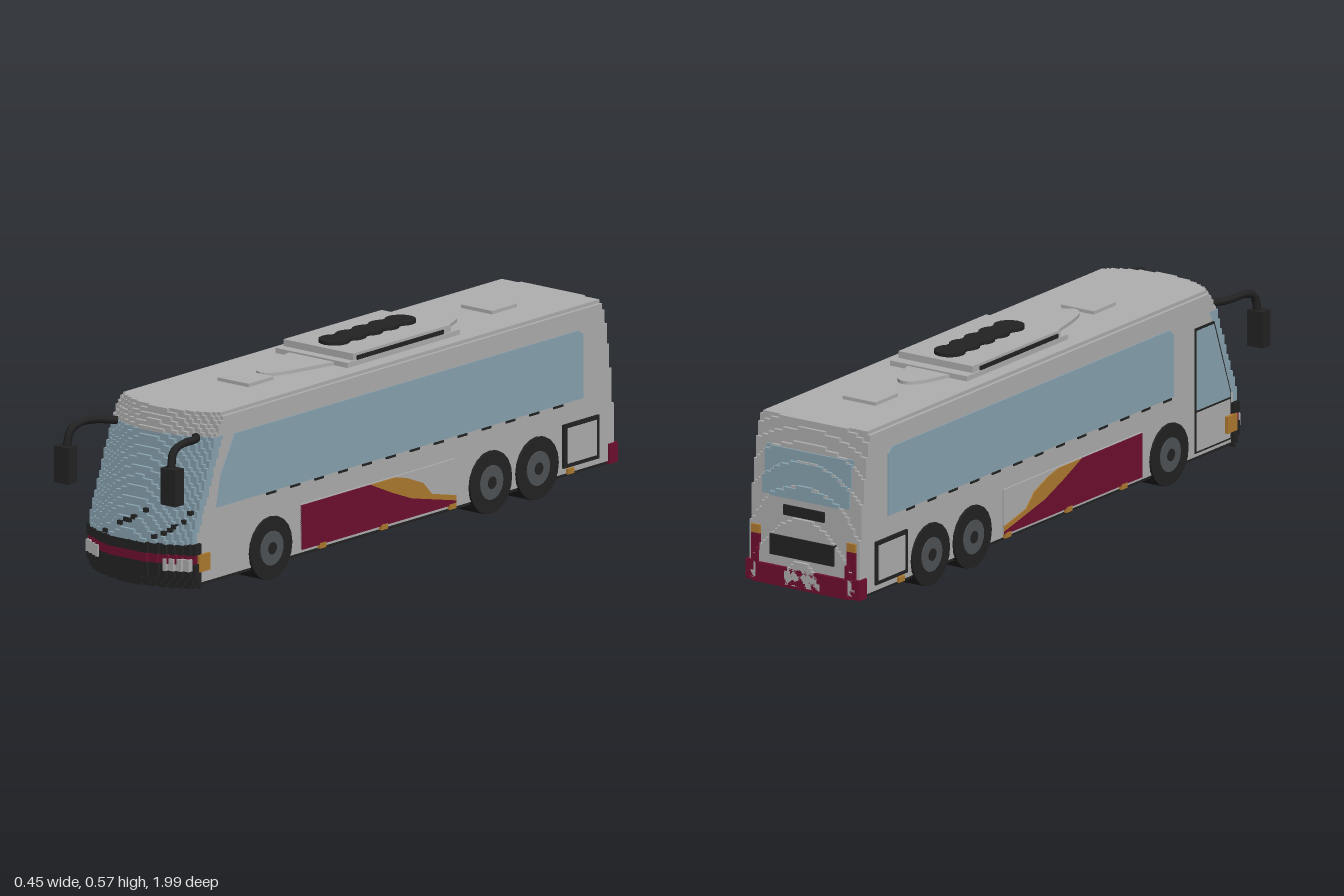
import * as THREE from 'three';
import { mergeGeometries } from 'three/addons/utils/BufferGeometryUtils.js';

const STEP = 0.0104; // size of the little steps in the curved ends
const mat = (name, color) => {
  const m = new THREE.MeshStandardMaterial({ color });
  m.name = name;
  return m;
};

export function createModel() {
  const root = new THREE.Group();
  root.name = 'coach';
  const grey = mat('body grey', 0xb0b0b0);
  const glass = mat('window blue', 0x8aa5b3);
  const red = mat('dark red', 0x700f30);
  const gold = mat('amber', 0xb07c30);
  const black = mat('trim black', 0x232323);
  const steel = mat('hub steel', 0x505456);

  const add = (name, geo, material) => {
    const mesh = new THREE.Mesh(geo, material);
    mesh.name = name;
    root.add(mesh);
    return mesh;
  };
  // Box given by its limits
  const box = (name, m, x0, x1, y0, y1, z0, z1) =>
    add(name, new THREE.BoxGeometry(x1 - x0, y1 - y0, z1 - z0)
      .translate((x0 + x1) / 2, (y0 + y1) / 2, (z0 + z1) / 2), m);
  // Flat plate on a body side, outline in (z, y)
  const plate = (name, m, side, pts, t = 0.006, base = 0.19) => {
    const shape = new THREE.Shape(pts.map(p => new THREE.Vector2(...p)));
    const g = new THREE.ExtrudeGeometry(shape, { depth: t, bevelEnabled: false });
    g.rotateY(-Math.PI / 2).translate(side > 0 ? base + t : -base, 0, 0);
    return add(name, g, m);
  };
  const rect = (z0, z1, y0, y1) => [[z0, y0], [z1, y0], [z1, y1], [z0, y1]];
  // Stack of thin layers whose outer edge follows end(y, x) in small steps
  const stack = (name, m, y0, y1, x0, x1, inner, end, off = 0) => {
    const rows = Math.max(1, Math.round((y1 - y0) / STEP)), h = (y1 - y0) / rows;
    const cols = Math.max(1, Math.round((x1 - x0) / STEP)), w = (x1 - x0) / cols;
    const layers = [];
    for (let r = 0; r < rows; r++) {
      const y = y0 + (r + 0.5) * h, pts = [];
      const zi = inner(y);
      pts.push(new THREE.Vector2(x0, zi));
      for (let c = 0; c < cols; c++) {
        const z = Math.round(end(y, x0 + (c + 0.5) * w) / STEP) * STEP + off;
        pts.push(new THREE.Vector2(x0 + c * w, z), new THREE.Vector2(x0 + (c + 1) * w, z));
      }
      pts.push(new THREE.Vector2(x1, zi));
      layers.push(new THREE.ExtrudeGeometry(new THREE.Shape(pts), { depth: h, bevelEnabled: false })
        .rotateX(Math.PI / 2).translate(0, y0 + (r + 1) * h, 0));
    }
    return add(name, mergeGeometries(layers), m);
  };
  // Piecewise linear profile [y, z]
  const profile = pts => y => {
    let i = 1;
    while (i < pts.length - 1 && y > pts[i][0]) i++;
    const [a, b] = [pts[i - 1], pts[i]];
    return THREE.MathUtils.lerp(a[1], b[1], THREE.MathUtils.clamp((y - a[0]) / (b[0] - a[0]), 0, 1));
  };
  const noseLine = profile([[0.035, 0.93], [0.07, 0.95], [0.165, 0.95], [0.22, 0.935], [0.33, 0.893], [0.465, 0.842], [0.525, 0.805]]);
  const tailLine = profile([[0.04, -0.985], [0.12, -0.983], [0.3, -0.968], [0.44, -0.947], [0.525, -0.925]]);
  const front = (y, x) => noseLine(y) - 0.03 * (x / 0.13) ** 2;
  const rear = (y, x) => tailLine(y) + 0.014 * (x / 0.19) ** 2;
  const pillar = y => 0.855 - (y - 0.2) * 0.4;

  // Main shell
  box('body', grey, -0.19, 0.19, 0.05, 0.515, -0.9, 0.7);
  box('roof', grey, -0.18, 0.18, 0.515, 0.525, -0.9, 0.7);
  box('underbody', black, -0.185, 0.185, 0.04, 0.05, -0.97, 0.87);

  // Front end
  stack('frontSides', grey, 0.05, 0.165, -0.19, 0.19, () => 0.7, () => 0.86);
  stack('pillars', grey, 0.165, 0.46, -0.19, 0.19, () => 0.7, y => pillar(y));
  stack('windscreen', glass, 0.165, 0.46, -0.19, 0.19, y => Math.round(pillar(y) / STEP) * STEP, front);
  stack('frontCap', grey, 0.46, 0.515, -0.19, 0.19, () => 0.7, front);
  stack('frontRoof', grey, 0.515, 0.525, -0.18, 0.18, () => 0.7, front);
  stack('lowerBumper', black, 0.036, 0.11, -0.2, 0.2, () => 0.855, front);
  stack('redBand', red, 0.11, 0.136, -0.195, 0.195, () => 0.855, front);
  stack('upperBumper', black, 0.136, 0.167, -0.2, 0.2, () => 0.855, front);
  for (const s of [-1, 1]) {
    stack('headlight', grey, 0.09, 0.125, s > 0 ? 0.12 : -0.19, s > 0 ? 0.19 : -0.12, () => 0.85, front, 0.006);
    plate('turnSignal', gold, s, rect(0.82, 0.868, 0.085, 0.135), 0.009, 0.194);
  }
  // Wipers
  for (const [x, y] of [[-0.085, 0.175], [-0.03, 0.208], [-0.01, 0.22], [0.003, 0.22], [0.015, 0.23], [0.05, 0.253],
    [0.09, 0.185], [0.115, 0.196], [0.13, 0.206], [0.14, 0.216], [0.162, 0.23], [0.172, 0.254]]) {
    const z = front(y, x);
    box('wiper', black, x - 0.007, x + 0.007, y - 0.006, y + 0.006, z - 0.01, z + 0.008);
  }

  // Rear end
  stack('tail', grey, 0.05, 0.515, -0.19, 0.19, () => -0.9, rear);
  stack('tailRoof', grey, 0.515, 0.525, -0.18, 0.18, () => -0.9, rear);
  stack('rearWindow', glass, 0.3, 0.44, -0.15, 0.15, () => -0.91, rear, -0.005);
  stack('rearBumper', red, 0.042, 0.1, -0.197, 0.197, () => -0.94, (y, x) => rear(y, x) - 0.008);
  stack('rearGrille', black, 0.25, 0.28, -0.07, 0.07, () => -0.91, rear, -0.006);
  stack('rearVent', black, 0.13, 0.19, -0.11, 0.11, () => -0.91, rear, -0.006);
  for (const s of [-1, 1]) {
    const [a, b] = s > 0 ? [0.15, 0.18] : [-0.18, -0.15];
    stack('tailLight', red, 0.1, 0.18, a, b, () => -0.91, rear, -0.007);
    stack('rearSignal', gold, 0.18, 0.205, a, b, () => -0.91, rear, -0.007);
  }

  // Side windows: the right-hand pair differs because of the door
  plate('sideWindow', glass, 1, [[-0.83, 0.256], [0.78, 0.256], [0.76, 0.35], [0.7, 0.457], [-0.81, 0.457], [-0.83, 0.44]], 0.003);
  plate('sideWindow', glass, -1, [[-0.83, 0.256], [0.57, 0.256], [0.57, 0.44], [0.55, 0.457], [-0.81, 0.457], [-0.83, 0.44]], 0.003);
  plate('doorFrame', black, -1, [[0.675, 0.06], [0.852, 0.06], [0.852, 0.2], [0.77, 0.43], [0.675, 0.43]], 0.002);
  plate('doorPanel', grey, -1, [[0.683, 0.066], [0.846, 0.066], [0.846, 0.18], [0.683, 0.18]], 0.004);
  plate('doorGlass', glass, -1, [[0.683, 0.187], [0.846, 0.187], [0.846, 0.2], [0.766, 0.422], [0.683, 0.422]], 0.004);

  for (const s of [-1, 1]) {
    // Luggage panel with sweep
    plate('luggagePanel', grey, s, rect(-0.267, 0.41, 0.06, 0.192), 0.005);
    plate('redSweep', red, s, [[0.41, 0.06], [0.41, 0.19], [0.11, 0.19], [0.02, 0.15], [-0.07, 0.115], [-0.267, 0.07], [-0.267, 0.06]], 0.008);
    plate('goldSweep', gold, s, [[0.11, 0.19], [0.0, 0.19], [-0.05, 0.178], [-0.12, 0.15], [-0.16, 0.11], [-0.267, 0.085],
      [-0.267, 0.07], [-0.07, 0.115], [0.02, 0.15]], 0.008);
    // Engine hatch
    plate('hatchFrame', black, s, rect(-0.895, -0.74, 0.068, 0.195), 0.007);
    plate('hatchDoor', grey, s, rect(-0.883, -0.755, 0.08, 0.183), 0.009);
    // Marker lamps and window catches
    for (const z of [0.32, 0.05, -0.25, -0.77]) plate('markerLamp', gold, s, rect(z - 0.014, z + 0.014, 0.048, 0.064), 0.009);
    for (let i = 0; i < 13; i++) {
      const z = 0.54 - i * 0.105;
      plate('windowCatch', black, s, rect(z - 0.02, z + 0.02, 0.249, 0.256), 0.004);
    }
    // Wheels
    for (const z of [0.545, -0.42, -0.625]) {
      const disc = (name, m, r, x0, x1) => add(name, new THREE.CylinderGeometry(r, r, x1 - x0, 20)
        .rotateZ(Math.PI / 2).translate(s * (x0 + x1) / 2, 0.092, z), m);
      disc('tyre', black, 0.092, 0.08, 0.197);
      disc('hub', steel, 0.05, 0.19, 0.2);
      disc('hubCap', black, 0.018, 0.19, 0.202);
    }
    // Mirror on a curved arm
    const arm = new THREE.CatmullRomCurve3([[0.145, 0.462, 0.815], [0.18, 0.468, 0.86], [0.188, 0.47, 0.925],
      [0.19, 0.455, 0.967], [0.193, 0.4, 0.982]].map(([x, y, z]) => new THREE.Vector3(s * x, y, z)));
    add('mirrorArm', new THREE.TubeGeometry(arm, 14, 0.012, 6), black);
    const mx = s * 0.197;
    box('mirror', black, mx - 0.027, mx + 0.027, 0.305, 0.412, 0.962, 1);
  }

  // Roof unit, with side slots and a row of fans
  box('roofUnitBase', grey, -0.133, 0.133, 0.525, 0.54, -0.36, 0.135);
  box('roofUnit', grey, -0.128, 0.128, 0.54, 0.56, -0.325, 0.105);
  for (const s of [-1, 1]) plate('roofVent', black, s, rect(-0.29, 0.09, 0.54, 0.552), 0.004, 0.128);
  for (let i = 0; i < 5; i++) {
    add('roofFan', new THREE.CylinderGeometry(0.045, 0.045, 0.01, 16).translate(0, 0.565, 0.035 - i * 0.0725), black);
  }
  box('fanRail', black, -0.033, 0.033, 0.56, 0.57, -0.28, 0.06);
  // Tongue shaped fairings before and behind the unit
  const tongue = (z0, z1, w) => {
    const shape = new THREE.Shape();
    shape.moveTo(-w, z0);
    shape.bezierCurveTo(-w * 0.7, z0 + (z1 - z0) * 0.4, -w * 0.6, z1, 0, z1);
    shape.bezierCurveTo(w * 0.6, z1, w * 0.7, z0 + (z1 - z0) * 0.4, w, z0);
    add('roofFairing', new THREE.ExtrudeGeometry(shape, { depth: 0.01, bevelEnabled: false })
      .rotateX(Math.PI / 2).translate(0, 0.535, 0), grey);
  };
  tongue(0.13, 0.36, 0.085);
  tongue(-0.355, -0.485, 0.075);
  for (const z of [0.425, -0.645]) box('roofHatch', grey, -0.057, 0.057, 0.525, 0.535, z - 0.055, z + 0.055);

  return root;
}
